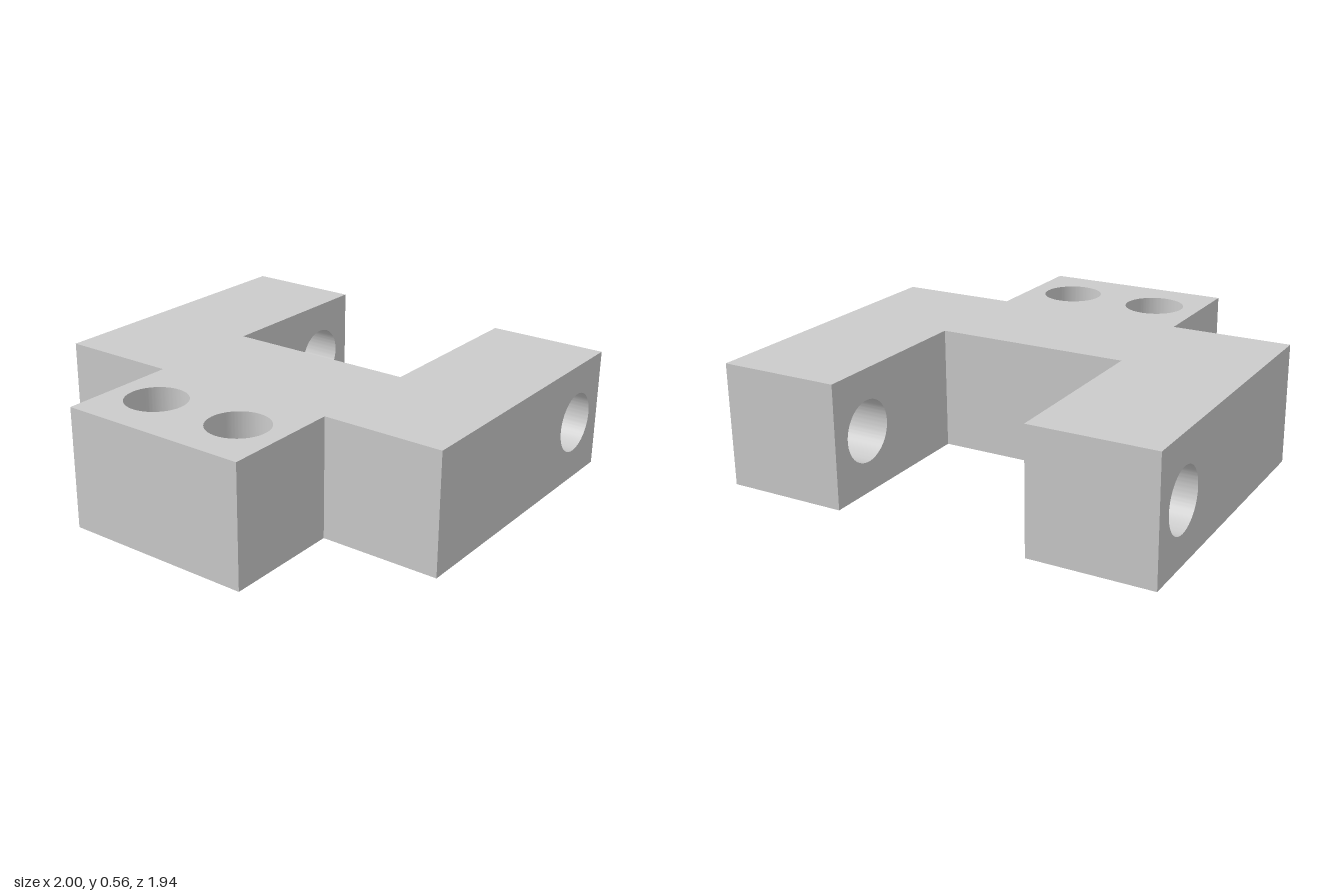
import * as THREE from 'three';
import { toCreasedNormals } from 'three/addons/utils/BufferGeometryUtils.js';

const U = 1 / 18;            // base unit: the bracket is 36 x 10 x 35 units
const HEIGHT = 10 * U;
const BACK = -17.5 * U, FRONT = 17.5 * U;
const CROTCH = -2.5 * U;     // floor of the fork
const SHOULDER = 7.5 * U;    // front face of the side arms
const INNER = 8 * U, OUTER = 18 * U;
const HOLE_R = 2.5 * U;

// Rectangle with round holes, extruded; hole walls smooth, edges sharp
function drilledPlate(x0, y0, x1, y1, holes, depth) {
  const shape = new THREE.Shape();
  shape.moveTo(x0, y0).lineTo(x1, y0).lineTo(x1, y1).lineTo(x0, y1).closePath();
  for (const [x, y] of holes) {
    shape.holes.push(new THREE.Path().absarc(x, y, HOLE_R, 0, Math.PI * 2, true));
  }
  const geo = new THREE.ExtrudeGeometry(shape, { depth, bevelEnabled: false, curveSegments: 64 });
  return toCreasedNormals(geo, Math.PI / 6);
}

export function createModel() {
  const group = new THREE.Group();
  group.name = 'forkBracket';
  const material = new THREE.MeshStandardMaterial({ color: 0xcccccc });

  const add = (name, geometry) => {
    const mesh = new THREE.Mesh(geometry, material);
    mesh.name = name;
    group.add(mesh);
    return mesh;
  };

  // Centre bridge and front tongue with two vertical holes
  const tongueHoles = [-1, 1].map((s) => [s * 4 * U, -12.5 * U]);
  add('bridgeAndTongue',
    drilledPlate(-INNER, -FRONT, INNER, -CROTCH, tongueHoles, HEIGHT).rotateX(-Math.PI / 2));

  // Side arms, each with a cross hole near the back end
  for (const [name, x] of [['leftArm', INNER], ['rightArm', -OUTER]]) {
    const arm = add(name,
      drilledPlate(-SHOULDER, 0, -BACK, HEIGHT, [[13.5 * U, HEIGHT / 2]], OUTER - INNER)
        .rotateY(Math.PI / 2));
    arm.position.x = x;
  }

  return group;
}
